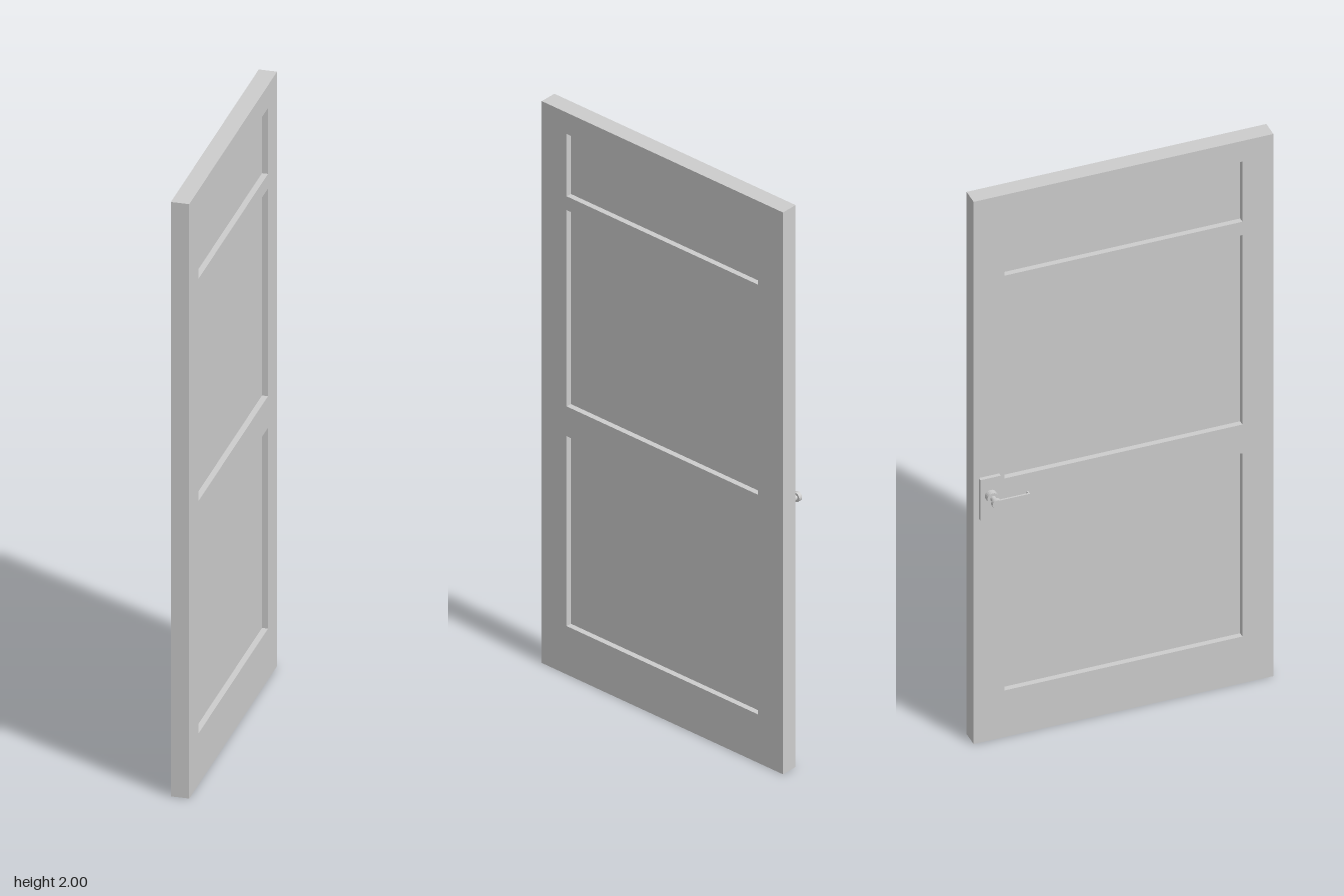
import * as THREE from 'three';

const LENGTH = 0.983, THICK = 0.058, HEIGHT = 2, INSET = 0.019;
const PANELS = [[0.172, 0.848], [0.954, 1.653], [1.702, 1.924]]; // bottom, top
const PANEL_HALF = 0.39;

export function createModel() {
  const grey = new THREE.MeshStandardMaterial({ color: 0xcccccc });
  grey.name = 'plain grey';

  const root = new THREE.Group();
  root.name = 'openDoor';
  // door space: x along the leaf, z out towards the handle side
  const door = new THREE.Group();
  door.name = 'doorLeaf';
  door.position.set(0.024, 0, 0);
  door.rotation.y = -1.184;
  root.add(door);

  const add = (name, geometry, x, y, z, parent = door) => {
    const mesh = new THREE.Mesh(geometry, grey);
    mesh.name = name;
    mesh.position.set(x, y, z);
    parent.add(mesh);
    return mesh;
  };
  const rectangle = (path, x0, y0, x1, y1) => {
    path.moveTo(x0, y0);
    path.lineTo(x1, y0);
    path.lineTo(x1, y1);
    path.lineTo(x0, y1);
    path.closePath();
    return path;
  };

  // frame with three openings
  const outline = rectangle(new THREE.Shape(), -LENGTH / 2, 0, LENGTH / 2, HEIGHT);
  for (const [y0, y1] of PANELS) {
    outline.holes.push(rectangle(new THREE.Path(), -PANEL_HALF, y0, PANEL_HALF, y1));
  }
  add('doorFrame', new THREE.ExtrudeGeometry(outline, { depth: THICK, bevelEnabled: false }), 0, 0, -THICK / 2);

  // recessed panels, sunk on both faces
  PANELS.forEach(([y0, y1], i) => add('panel' + (i + 1),
    new THREE.BoxGeometry(PANEL_HALF * 2, y1 - y0, THICK - 2 * INSET), 0, (y0 + y1) / 2, 0));

  // handle, on one face only
  const handle = new THREE.Group();
  handle.name = 'handle';
  handle.position.set(-0.441, 0.914, THICK / 2);
  door.add(handle);
  add('backPlate', new THREE.BoxGeometry(0.067, 0.15, 0.013), 0, -0.012, 0.0065, handle);

  // collar, spindle and knob turned as one piece
  const profile = [[0, 0.012], [0.019, 0.012], [0.019, 0.033], [0.009, 0.033], [0.009, 0.056],
    [0.016, 0.056], [0.016, 0.069], [0, 0.069]].map(([r, h]) => new THREE.Vector2(r, h));
  const turned = new THREE.LatheGeometry(profile, 24).toNonIndexed();
  turned.computeVertexNormals();
  add('spindleAndKnob', turned, 0, 0, 0, handle).rotation.x = Math.PI / 2;

  // lever arm with its tip bent back towards the door
  add('leverArm', new THREE.BoxGeometry(0.105, 0.016, 0.006), 0.0575, 0, 0.059, handle);
  add('leverTip', new THREE.BoxGeometry(0.005, 0.016, 0.013), 0.1075, 0, 0.051, handle);

  return root;
}
